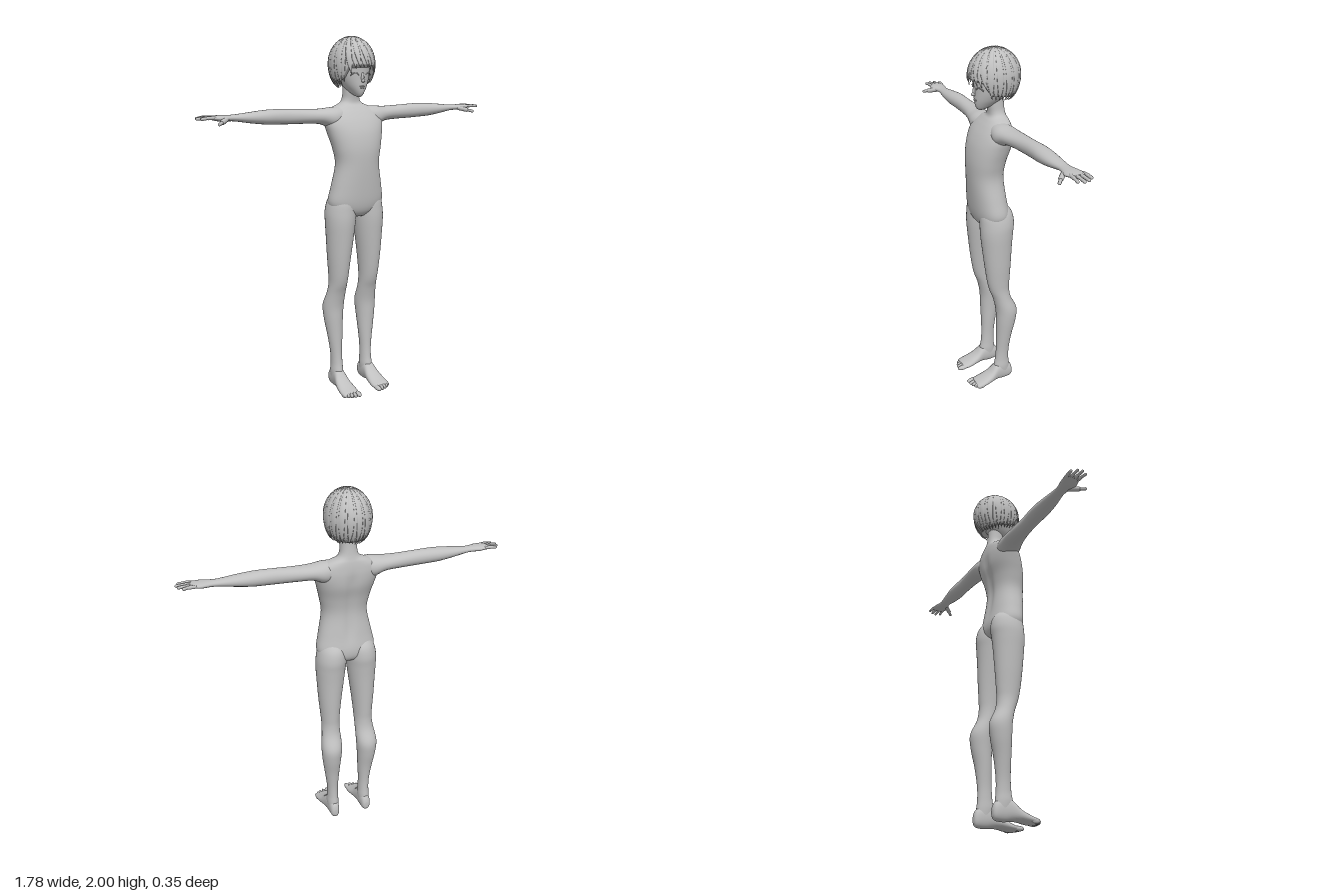
import * as THREE from 'three';

const clay = new THREE.MeshStandardMaterial({ color: 0xc0c0c0 });
clay.name = 'plain grey';

// Closed skin over a list of equal-length point rings, always facing outward
function skin(rings) {
  const n = rings[0].length, pos = [], idx = [];
  const centre = r => r.reduce((s, p) => s.add(p), new THREE.Vector3()).divideScalar(n);
  rings.forEach(r => r.forEach(p => pos.push(p.x, p.y, p.z)));
  for (let i = 0; i < rings.length - 1; i++) for (let j = 0; j < n; j++) {
    const a = i * n + j, b = i * n + (j + 1) % n;
    idx.push(a, b, a + n, b, b + n, a + n);
  }
  const ends = [rings[0], rings[rings.length - 1]];
  ends.forEach((r, e) => {
    const c = centre(r), k = pos.length / 3, o = e * (rings.length - 1) * n;
    pos.push(c.x, c.y, c.z);
    for (let j = 0; j < n; j++) {
      const a = o + j, b = o + (j + 1) % n;
      if (e) idx.push(a, b, k); else idx.push(b, a, k);
    }
  });
  const v = i => new THREE.Vector3().fromArray(pos, i * 3);
  let volume = 0;
  for (let i = 0; i < idx.length; i += 3) volume += v(idx[i]).dot(v(idx[i + 1]).cross(v(idx[i + 2])));
  if (volume < 0) idx.reverse();
  const g = new THREE.BufferGeometry();
  g.setAttribute('position', new THREE.Float32BufferAttribute(pos, 3));
  g.setIndex(idx);
  g.computeVertexNormals();
  return g;
}

// Smooth loft through rows of [station, aMin, aMax, bMin, bMax]
function loft(rows, place, power = 1, sides = 32, steps = 5) {
  const rings = [], last = rows.length - 1;
  for (let i = 0; i <= last * steps; i++) {
    const k = Math.min(Math.floor(i / steps), last - 1), t = i / steps - k;
    const r = d => rows[Math.max(0, Math.min(last, k + d))];
    const [s, a0, a1, b0, b1] = rows[0].map((_, c) => {
      const p = r(-1)[c], q = r(0)[c], u = r(1)[c], w = r(2)[c];
      return q + 0.5 * t * (u - p + t * (2 * p - 5 * q + 4 * u - w + t * (3 * (q - u) + w - p)));
    });
    const bend = v => Math.sign(v) * Math.abs(v) ** power;
    rings.push(Array.from({ length: sides }, (_, j) => {
      const f = j / sides * Math.PI * 2;
      return place(s, (a0 + a1) / 2 + (a1 - a0) / 2 * bend(Math.cos(f)),
        (b0 + b1) / 2 + (b1 - b0) / 2 * bend(Math.sin(f)));
    }));
  }
  return skin(rings);
}

function add(group, name, geometry) {
  const m = new THREE.Mesh(geometry, clay);
  m.name = name;
  group.add(m);
  return m;
}

function ball(group, name, x, y, z, rx, ry, rz) {
  const m = add(group, name, new THREE.SphereGeometry(1, 16, 12));
  m.position.set(x, y, z);
  m.scale.set(rx, ry, rz);
}

// Rounded rod between two points, for finger joints
function rod(group, name, a, b, r) {
  const p = new THREE.Vector3(...a), q = new THREE.Vector3(...b), d = q.clone().sub(p);
  const m = add(group, name, new THREE.CapsuleGeometry(r, d.length(), 5, 10));
  m.position.copy(p).add(q).multiplyScalar(0.5);
  m.quaternion.setFromUnitVectors(new THREE.Vector3(0, 1, 0), d.normalize());
}

// Point on the hair dome: azimuth, angle down from the crown, lift
function dome(theta, phi, lift) {
  const r = Math.max(0, Math.sin(phi)) ** (phi > Math.PI / 2 ? 0.7 : 1) * lift;
  return new THREE.Vector3(0.12 * r * Math.sin(theta),
    1.855 + 0.141 * Math.cos(phi) * lift, -0.03 + 0.14 * r * Math.cos(theta));
}
function hemAngle(theta) {
  const a = Math.abs(Math.atan2(Math.sin(theta), Math.cos(theta)));
  const side = THREE.MathUtils.smoothstep(a, 0.6, 1.15);
  const y = 1.825 - side * 0.072 - 0.023 * THREE.MathUtils.smoothstep(a, 1.1, 2.6);
  return Math.acos((y - 1.855) / 0.141);
}

function makeHair() {
  const hair = new THREE.Group();
  hair.name = 'hair';
  const rings = [];
  for (let i = 0; i <= 20; i++) rings.push(Array.from({ length: 64 }, (_, j) => {
    const th = j / 64 * Math.PI * 2;
    return dome(th, 0.02 + (hemAngle(th) - 0.18) * i / 20, 0.985);
  }));
  add(hair, 'hairCap', skin(rings));
  // Overlapping tapered locks fanning from the crown
  const count = 34;
  for (let i = 0; i < count; i++) {
    const th = (i + 0.5) / count * Math.PI * 2, wob = Math.sin(i * 12.9), front = Math.cos(th) > 0.6;
    const len = hemAngle(th) + 0.09 * wob, lift = 1 + 0.012 * (i % 2);
    const lock = [];
    for (let k = 0; k <= 16; k++) {
      const t = k / 16;
      const w = 1.55 * Math.PI / count * Math.max(0.04, 1 - Math.max(0, (t - 0.55) / 0.45) ** 1.8);
      const turn = th + (front ? 0.22 : 0.07) * t * t * (front ? 1 : wob);
      lock.push(Array.from({ length: 10 }, (_, j) => {
        const f = j / 10 * Math.PI * 2;
        return dome(turn + w * Math.cos(f), 0.04 + (len - 0.04) * t, lift + 0.018 * Math.sin(f));
      }));
    }
    add(hair, 'hairLock', skin(lock));
  }
  return hair;
}

function makeHead() {
  const head = new THREE.Group();
  head.name = 'head';
  add(head, 'skull', loft([
    [1.682, -0.008, 0.008, 0.03, 0.055], [1.69, -0.02, 0.02, 0.005, 0.068],
    [1.71, -0.038, 0.038, -0.04, 0.077], [1.74, -0.06, 0.06, -0.08, 0.081],
    [1.78, -0.079, 0.079, -0.11, 0.082], [1.82, -0.088, 0.088, -0.13, 0.084],
    [1.87, -0.09, 0.09, -0.14, 0.086], [1.93, -0.075, 0.075, -0.11, 0.06],
    [1.97, -0.03, 0.03, -0.06, 0.01]], (y, x, z) => new THREE.Vector3(x, y, z)));
  // Nose, lips, and lids
  ball(head, 'noseBridge', 0, 1.785, 0.08, 0.009, 0.028, 0.011);
  ball(head, 'noseTip', 0, 1.768, 0.087, 0.009, 0.009, 0.014);
  ball(head, 'upperLip', 0, 1.738, 0.078, 0.017, 0.004, 0.008);
  ball(head, 'lowerLip', 0, 1.73, 0.076, 0.013, 0.004, 0.008);
  for (const s of [-1, 1]) {
    const lid = new THREE.CatmullRomCurve3([[0.02, 1.797, 0.08], [0.035, 1.808, 0.077],
      [0.052, 1.805, 0.068], [0.062, 1.795, 0.059]].map(([x, y, z]) => new THREE.Vector3(x * s, y, z)));
    add(head, 'eyelid', new THREE.TubeGeometry(lid, 12, 0.003, 6));
    ball(head, 'ear', 0.088 * s, 1.79, -0.02, 0.01, 0.03, 0.018);
  }
  return head;
}

function makeArm(s) {
  const arm = new THREE.Group();
  arm.name = s > 0 ? 'leftArm' : 'rightArm';
  add(arm, 'armAndPalm', loft([
    [0.06, 1.53, 1.625, -0.07, 0.03], [0.13, 1.515, 1.628, -0.09, 0.045], [0.2, 1.54, 1.622, -0.09, 0.03],
    [0.28, 1.546, 1.623, -0.086, 0.014], [0.38, 1.548, 1.627, -0.08, 0.006],
    [0.46, 1.551, 1.629, -0.083, 0.007], [0.52, 1.554, 1.627, -0.084, 0.009],
    [0.6, 1.564, 1.62, -0.077, 0.005], [0.68, 1.577, 1.612, -0.067, -0.006],
    [0.72, 1.58, 1.611, -0.067, -0.002], [0.765, 1.581, 1.612, -0.077, 0.012],
    [0.8, 1.588, 1.611, -0.079, 0.008], [0.822, 1.594, 1.608, -0.073, -0.002]],
  (x, y, z) => new THREE.Vector3(x * s, y, z), 0.95, 28));
  // Four fingers and a thumb
  [[-0.07, -0.076, 0.856], [-0.047, -0.05, 0.876], [-0.025, -0.024, 0.882], [-0.004, 0.003, 0.868]]
    .forEach(([z0, z1, tip]) => {
      rod(arm, 'fingerBase', [0.8 * s, 1.601, z0], [0.836 * s, 1.602, (z0 + z1) / 2], 0.0092);
      rod(arm, 'fingerTip', [0.836 * s, 1.602, (z0 + z1) / 2], [tip * s, 1.599, z1], 0.0078);
    });
  rod(arm, 'thumbBase', [0.738 * s, 1.592, -0.008], [0.772 * s, 1.582, 0.027], 0.013);
  rod(arm, 'thumbTip', [0.772 * s, 1.582, 0.027], [0.798 * s, 1.574, 0.05], 0.0085);
  return arm;
}

function makeLeg(s) {
  const leg = new THREE.Group();
  leg.name = s > 0 ? 'leftLeg' : 'rightLeg';
  add(leg, 'legShaft', loft([
    [1.17, 0.02, 0.13, -0.055, 0.06], [1.12, 0.004, 0.158, -0.092, 0.085], [1.06, 0.002, 0.172, -0.103, 0.09],
    [1.0, 0.008, 0.174, -0.097, 0.09], [0.92, 0.018, 0.17, -0.09, 0.083], [0.8, 0.034, 0.163, -0.083, 0.07],
    [0.7, 0.045, 0.155, -0.077, 0.056], [0.64, 0.049, 0.152, -0.075, 0.042],
    [0.58, 0.049, 0.157, -0.085, 0.02], [0.5, 0.048, 0.168, -0.12, 0.003],
    [0.42, 0.054, 0.163, -0.115, 0.0], [0.32, 0.061, 0.148, -0.094, -0.002],
    [0.22, 0.068, 0.134, -0.081, -0.002], [0.15, 0.068, 0.131, -0.08, 0.003],
    [0.1, 0.066, 0.134, -0.085, 0.012], [0.05, 0.07, 0.13, -0.09, 0.01]],
  (y, x, z) => new THREE.Vector3(x * s, y, z)));
  // Foot and toes
  add(leg, 'foot', loft([
    [-0.102, 0.088, 0.112, 0.025, 0.06], [-0.088, 0.075, 0.126, 0.004, 0.095],
    [-0.04, 0.068, 0.132, 0, 0.125], [0.0, 0.065, 0.138, 0.006, 0.115],
    [0.045, 0.058, 0.149, 0.006, 0.072], [0.095, 0.052, 0.156, 0, 0.046],
    [0.135, 0.055, 0.154, 0.001, 0.032], [0.145, 0.065, 0.145, 0.007, 0.024]],
  (z, x, y) => new THREE.Vector3(x * s, y, z), 0.9));
  [0.068, 0.091, 0.111, 0.129, 0.145].forEach((x, i) =>
    ball(leg, 'toe', x * s, 0.015, 0.145 - i * i * 0.0016, i ? 0.0105 : 0.015, 0.014, 0.034 - i * 0.002));
  return leg;
}

export function createModel() {
  const figure = new THREE.Group();
  figure.name = 'mannequin';
  // Torso and neck, with a shallow channel down the spine
  add(figure, 'torso', loft([
    [1.03, -0.05, 0.05, -0.03, 0.06], [1.06, -0.13, 0.13, -0.075, 0.085], [1.11, -0.165, 0.165, -0.088, 0.1],
    [1.2, -0.15, 0.15, -0.076, 0.11], [1.32, -0.127, 0.127, -0.064, 0.118],
    [1.41, -0.141, 0.141, -0.075, 0.118], [1.49, -0.162, 0.162, -0.097, 0.103],
    [1.55, -0.175, 0.175, -0.102, 0.077], [1.595, -0.16, 0.16, -0.099, 0.047],
    [1.625, -0.115, 0.115, -0.095, 0.022], [1.645, -0.066, 0.066, -0.09, 0.006],
    [1.67, -0.048, 0.048, -0.085, 0.004], [1.71, -0.044, 0.044, -0.081, 0.01],
    [1.76, -0.044, 0.044, -0.08, 0.01]],
  (y, x, z) => {
    const along = THREE.MathUtils.smoothstep(y, 1.12, 1.25) * (1 - THREE.MathUtils.smoothstep(y, 1.5, 1.6));
    return new THREE.Vector3(x, y, z < 0 ? z + 0.01 * along * Math.exp(-((x / 0.025) ** 2)) : z);
  }, 0.9, 56));
  for (const s of [-1, 1]) figure.add(makeArm(s), makeLeg(s));
  figure.add(makeHead(), makeHair());
  return figure;
}
